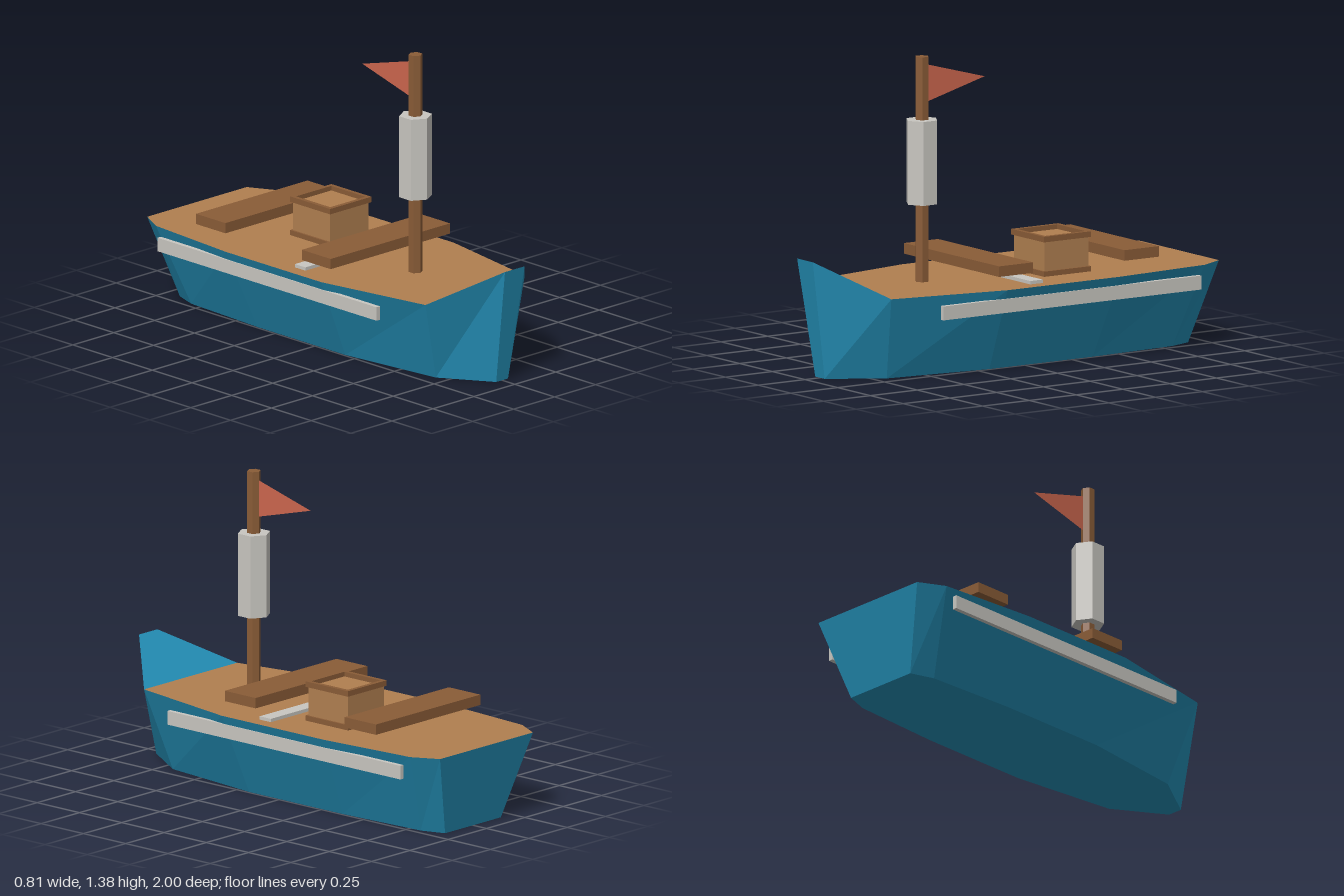
import * as THREE from 'three';

const paint = (name, color) => {
  const m = new THREE.MeshStandardMaterial({ color, flatShading: true });
  m.name = name;
  return m;
};

// Flat-shaded geometry from convex polygons given as corner lists (counter-clockwise from outside)
function polygons(faces) {
  const pos = [];
  for (const f of faces)
    for (let i = 1; i < f.length - 1; i++) pos.push(...f[0], ...f[i], ...f[i + 1]);
  const g = new THREE.BufferGeometry();
  g.setAttribute('position', new THREE.Float32BufferAttribute(pos, 3));
  g.computeVertexNormals();
  return g;
}

export function createModel() {
  const blue = paint('hullBlue', 0x238cb3);
  const tan = paint('deckWood', 0xb07f50);
  const brown = paint('darkWood', 0x8a5c37);
  const grey = paint('paleGrey', 0xc8c6c0);
  const red = paint('flagRed', 0xcc664e);
  red.side = THREE.DoubleSide;

  const boat = new THREE.Group();
  boat.name = 'boat';
  const add = (name, geo, mat, parent = boat) => {
    const m = new THREE.Mesh(geo, mat);
    m.name = name;
    parent.add(m);
    return m;
  };
  // Box given by its limits on each axis
  const box = (name, mat, [x0, x1], [y0, y1], [z0, z1], parent) =>
    add(name, new THREE.BoxGeometry(x1 - x0, y1 - y0, z1 - z0), mat, parent)
      .position.set((x0 + x1) / 2, (y0 + y1) / 2, (z0 + z1) / 2);

  // Hull: gunwale stations from bow to stern, mirrored, tapering to a smaller flat bottom
  const half = [
    [0.06, 0.53, 1], [0.303, 0.375, 0.75], [0.404, 0.375, 0.2],
    [0.404, 0.375, -0.4], [0.366, 0.375, -0.88], [0.303, 0.375, -1],
  ];
  const top = [...half, ...half.map(([x, y, z]) => [-x, y, z]).reverse()];
  const bottom = top.map(([x, , z]) => [x * 0.6, 0, z * 0.92]);
  const n = top.length;
  const sides = top.map((t, i) => {
    const j = (i + 1) % n;
    return [bottom[i], bottom[j], top[j], t];
  });
  const bowTop = [top[0], top[1], top[n - 2], top[n - 1]];
  add('hull', polygons([...sides, [...bottom].reverse(), bowTop]), blue);
  add('deck', polygons([top.slice(1, n - 1)]), tan);

  // Rub rails on both sides
  for (const s of [-1, 1]) {
    const x = [0.37 * s, 0.391 * s].sort((a, b) => a - b);
    box(s > 0 ? 'leftRail' : 'rightRail', grey, x, [0.272, 0.334], [-0.845, 0.533]);
  }

  // Benches and deck strip
  box('frontBench', brown, [-0.364, 0.364], [0.43, 0.477], [0.035, 0.217]);
  box('rearBench', brown, [-0.34, 0.34], [0.43, 0.477], [-0.655, -0.47]);
  box('deckStrip', grey, [-0.34, 0.34], [0.375, 0.39], [-0.033, 0.033]);

  // Crate with base trim and an open rim around its recessed lid
  const crate = new THREE.Group();
  crate.name = 'crate';
  crate.position.set(0.091, 0, -0.252);
  boat.add(crate);
  const r = 0.126, w = 0.107, b = 0.117;
  box('crateBase', brown, [-r, r], [0.375, 0.398], [-r, r], crate);
  box('crateBody', tan, [-b, b], [0.398, 0.532], [-b, b], crate);
  for (const s of [-1, 1]) {
    const span = [w * s, r * s].sort((p, q) => p - q);
    box('crateRimSide', brown, span, [0.528, 0.553], [-r, r], crate);
    box('crateRimEnd', brown, [-w, w], [0.528, 0.553], span, crate);
  }

  // Mast with furled sail
  const post = (name, mat, radius, y0, y1) =>
    add(name, new THREE.CylinderGeometry(radius, radius, y1 - y0, 6), mat)
      .position.set(0, (y0 + y1) / 2, 0.375);
  post('mast', brown, 0.031, 0.375, 1.375);
  post('furledSail', grey, 0.074, 0.722, 1.095);

  // Pennant
  add('flag', polygons([[[0, 1.17, 0.35], [0, 1.253, 0.04], [0, 1.337, 0.35]]]), red);

  return boat;
}
